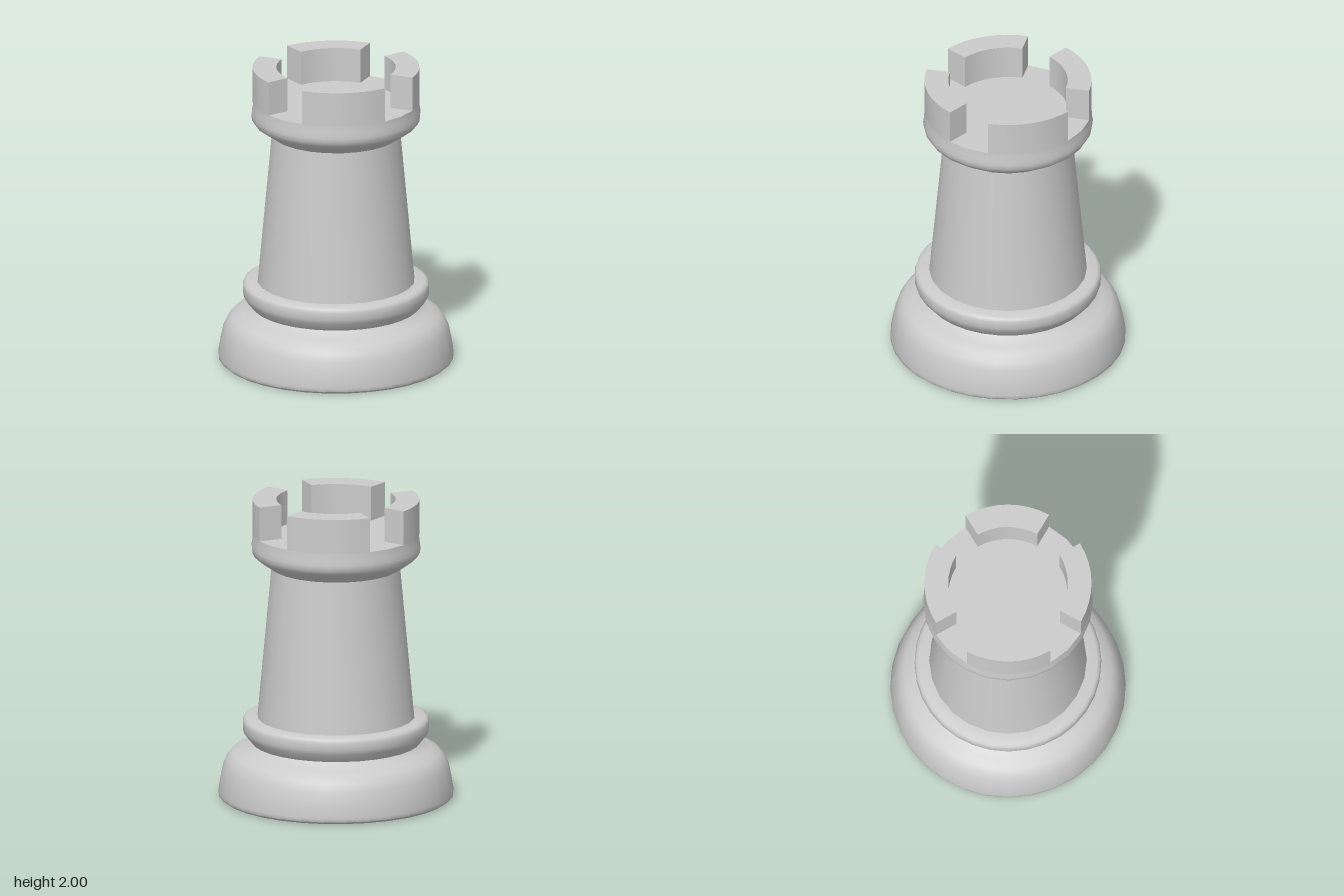
import * as THREE from 'three';
import { toCreasedNormals } from 'three/addons/utils/BufferGeometryUtils.js';

const material = new THREE.MeshStandardMaterial({ color: 0xcccccc });

function addMesh(parent, name, geometry, crease) {
  const mesh = new THREE.Mesh(toCreasedNormals(geometry, crease), material);
  mesh.name = name;
  parent.add(mesh);
  return mesh;
}

// Turned part from [radius, height] pairs, listed from bottom to top
function turned(parent, name, profile, segments, crease = 0.8) {
  const points = profile.map(([r, y]) => new THREE.Vector2(r, y));
  return addMesh(parent, name, new THREE.LatheGeometry(points, segments), crease);
}

export function createModel() {
  const rook = new THREE.Group();
  rook.name = 'rook';

  // Wide foot with a rounded shoulder
  turned(rook, 'base', [
    [0, 0], [0.75, 0], [0.768, 0.015], [0.77, 0.04], [0.755, 0.13], [0.738, 0.21],
    [0.715, 0.26], [0.68, 0.3], [0.62, 0.325], [0.575, 0.345], [0.55, 0.367],
  ], 32);

  // Ring above the narrow neck
  turned(rook, 'collar', [
    [0.55, 0.367], [0.598, 0.425], [0.609, 0.455], [0.61, 0.505],
    [0.603, 0.525], [0.585, 0.535], [0.49, 0.537],
  ], 32);

  // Tapering tower
  turned(rook, 'shaft', [[0.515, 0.535], [0.422, 1.545]], 24);

  // Flared crown with its flat floor
  turned(rook, 'crown', [
    [0.422, 1.545], [0.48, 1.585], [0.535, 1.625], [0.552, 1.655], [0.555, 1.685],
    [0.549, 1.72], [0.546, 1.772], [0.39, 1.772], [0, 1.768],
  ], 24);

  // Four battlements, each a 60 degree sector of a ring
  const half = Math.PI / 6;
  const sector = new THREE.Shape();
  sector.absarc(0, 0, 0.546, -half, half, false);
  sector.absarc(0, 0, 0.39, half, -half, true);
  sector.closePath();
  const battlement = new THREE.ExtrudeGeometry(sector, {
    depth: 0.23, bevelEnabled: false, curveSegments: 4,
  });
  battlement.rotateX(-Math.PI / 2).translate(0, 1.77, 0);
  for (let i = 0; i < 4; i++) {
    addMesh(rook, 'battlement', battlement, 0.6).rotation.y = i * Math.PI / 2;
  }
  return rook;
}
